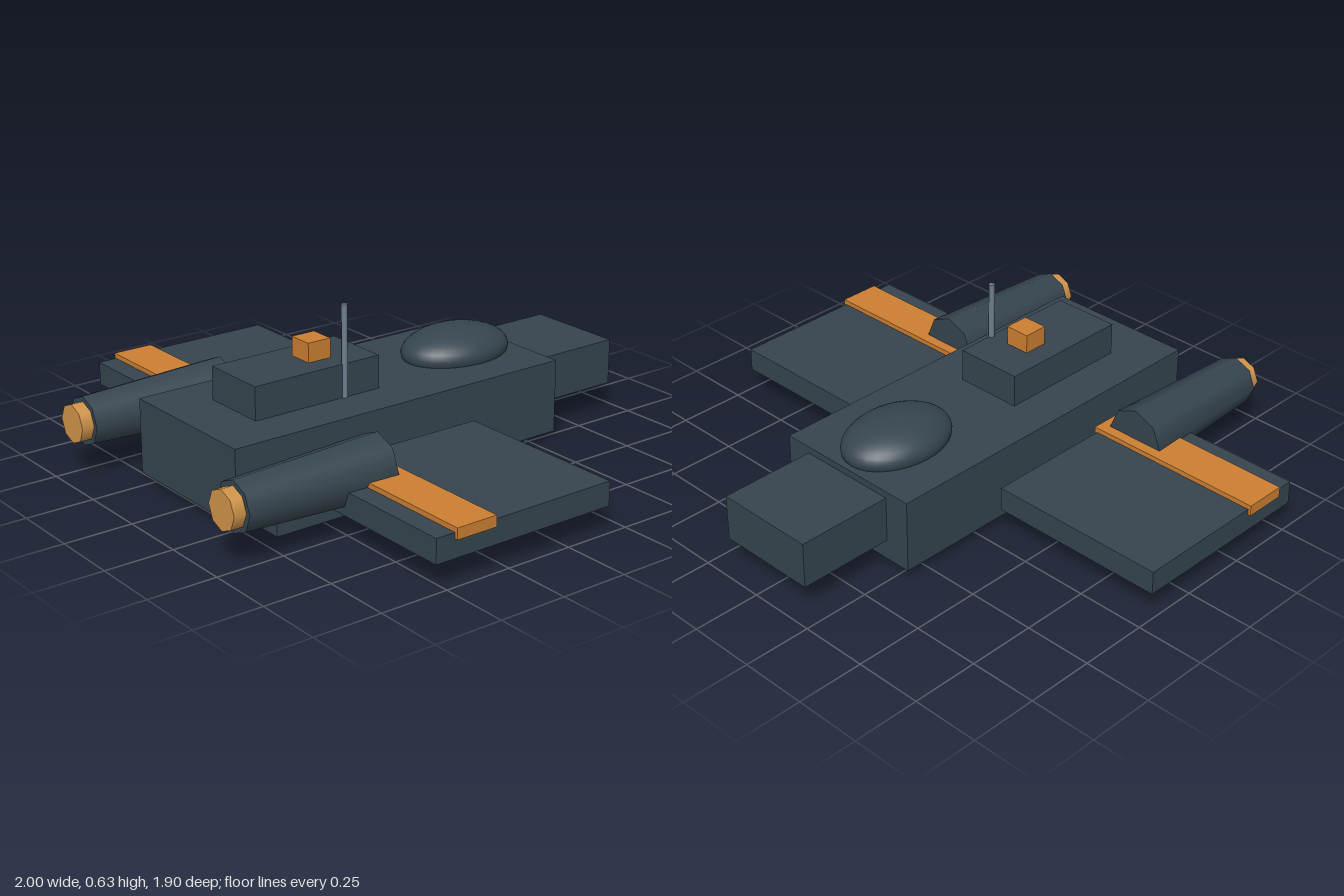
import * as THREE from 'three';

export function createModel() {
  const model = new THREE.Group();
  model.name = 'spacecraft';

  const mat = (name, color) => {
    const m = new THREE.MeshStandardMaterial({ color });
    m.name = name;
    return m;
  };
  const hull = mat('slate hull', 0x36454f);
  const orange = mat('bronze orange', 0xcd7f32);
  const glow = mat('pale orange', 0xd2954b);
  const metal = mat('steel grey', 0x708090);
  const panel = mat('panel grey', 0x7c8087);

  const add = (name, geometry, material) => {
    const mesh = new THREE.Mesh(geometry, material);
    mesh.name = name;
    model.add(mesh);
    return mesh;
  };
  // Box given by its limits on each axis
  const box = (name, material, [x0, x1], [y0, y1], [z0, z1]) =>
    add(name, new THREE.BoxGeometry(x1 - x0, y1 - y0, z1 - z0), material)
      .position.set((x0 + x1) / 2, (y0 + y1) / 2, (z0 + z1) / 2);
  // Cylinder lying along z, eight sided
  const barrel = (name, material, rFront, rBack, x, y, z0, z1) =>
    add(name, new THREE.CylinderGeometry(rFront, rBack, z1 - z0, 8).rotateX(Math.PI / 2), material)
      .position.set(x, y, (z0 + z1) / 2);

  // Central hull
  box('fuselage', hull, [-0.288, 0.288], [0.03, 0.30], [-0.59, 0.783]);
  box('tail', hull, [-0.19, 0.19], [0.105, 0.275], [-0.95, -0.59]);
  box('bellyPlate', panel, [-0.24, 0.24], [0, 0.03], [-0.465, -0.26]);

  // Top deck
  box('cabin', hull, [-0.127, 0.127], [0.30, 0.42], [0.083, 0.593]);
  box('beacon', orange, [-0.047, 0.047], [0.42, 0.49], [0.228, 0.32]);
  add('antenna', new THREE.CylinderGeometry(0.012, 0.012, 0.33, 6), metal)
    .position.set(0.125, 0.465, 0.227);
  const dome = add('dome', new THREE.SphereGeometry(1, 32, 20), hull);
  dome.scale.set(0.157, 0.085, 0.215);
  dome.position.set(0, 0.32, -0.36);

  // Wings, stripes, side pods and engines, mirrored
  for (const [side, s] of [['left', 1], ['right', -1]]) {
    const span = (a, b) => (s > 0 ? [a, b] : [-b, -a]);
    box(side + 'Wing', hull, span(0.32, 0.99), [0.09, 0.177], [-0.182, 0.535]);
    box(side + 'WingStripe', orange, span(0.31, 1), [0.155, 0.195], [0.305, 0.462]);
    box(side + 'Pod', hull, span(0.305, 0.40), [0.015, 0.125], [0.29, 0.704]);
    barrel(side + 'Engine', hull, 0.09, 0.113, s * 0.458, 0.195, 0.345, 0.905);
    barrel(side + 'Nozzle', glow, 0.071, 0.071, s * 0.458, 0.195, 0.86, 0.95);
  }
  return model;
}
